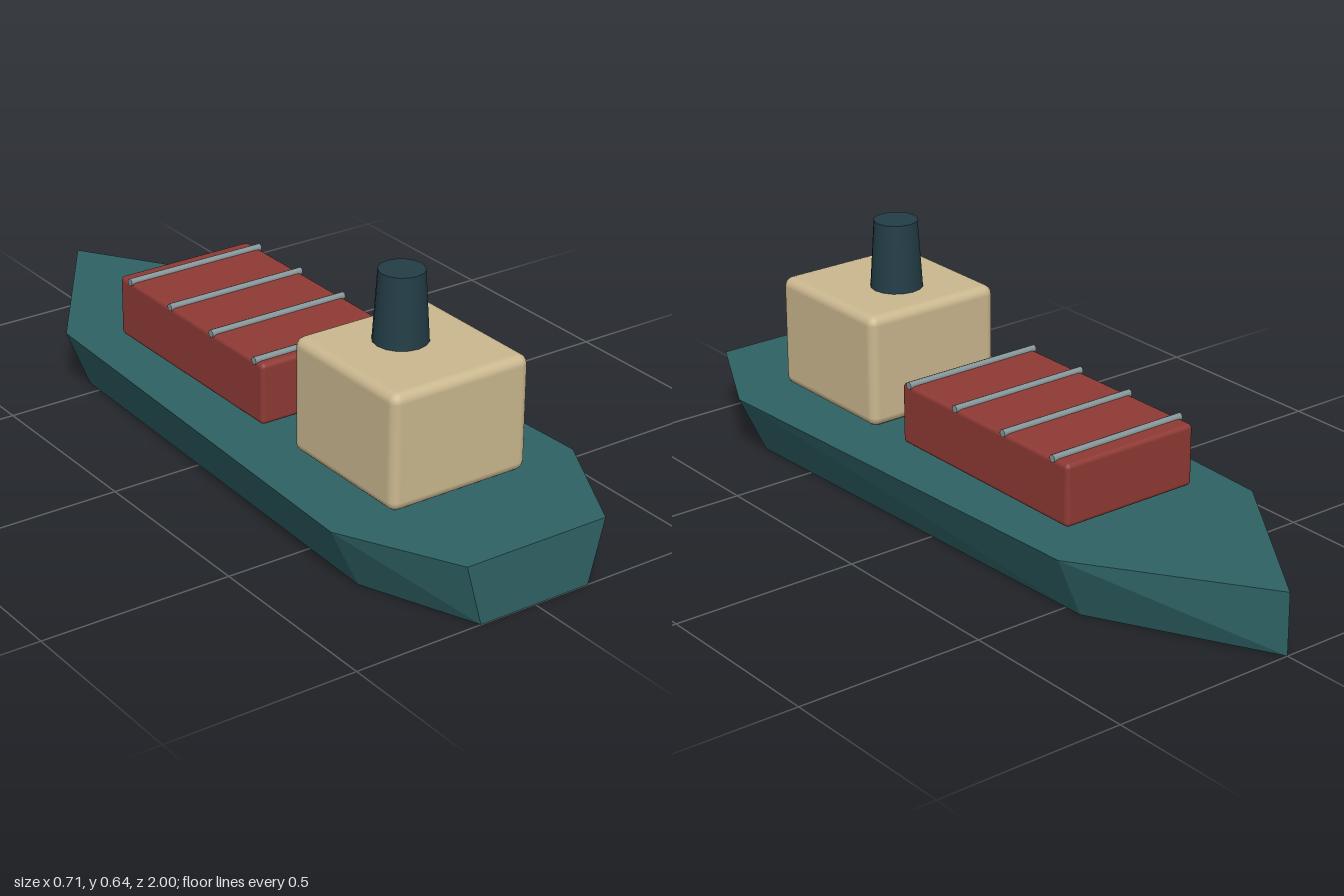
import * as THREE from 'three';
import { RoundedBoxGeometry } from 'three/addons/geometries/RoundedBoxGeometry.js';

const DECK = 0.162;

function material(name, color) {
  const m = new THREE.MeshStandardMaterial({ color });
  m.name = name;
  return m;
}

// Deck outline extruded upwards, with the bottom drawn in to slope the sides
function hullGeometry() {
  const half = [[0.305, -0.55], [0.355, 0.7], [0.2, 1]];
  const outline = [[0, -1], ...half, ...half.map(([x, z]) => [-x, z]).reverse()];
  const shape = new THREE.Shape(outline.map(([x, z]) => new THREE.Vector2(x, -z)));
  const geometry = new THREE.ExtrudeGeometry(shape, { depth: DECK, bevelEnabled: false });
  geometry.rotateX(-Math.PI / 2);
  const p = geometry.attributes.position;
  for (let i = 0; i < p.count; i++) {
    if (p.getY(i) < DECK / 2) p.setX(i, p.getX(i) * 0.78);
  }
  geometry.computeVertexNormals();
  return geometry;
}

export function createModel() {
  const ship = new THREE.Group();
  ship.name = 'cargoShip';
  const teal = material('hull teal', 0x2f6265);
  const cream = material('cabin cream', 0xcbb88f);
  const red = material('cargo red', 0x8f3a35);
  const dark = material('funnel dark blue', 0x233d46);
  const grey = material('strap grey', 0x87979a);

  const add = (name, geometry, mat, x, y, z) => {
    const mesh = new THREE.Mesh(geometry, mat);
    mesh.name = name;
    mesh.position.set(x, y, z);
    ship.add(mesh);
    return mesh;
  };

  add('hull', hullGeometry(), teal, 0, 0, 0);

  // Cabin and its tapered funnel towards the stern
  add('cabin', new RoundedBoxGeometry(0.394, 0.3, 0.4, 2, 0.025), cream, 0, 0.313, 0.52);
  add('funnel', new THREE.CylinderGeometry(0.057, 0.07, 0.2, 16), dark, 0, 0.543, 0.48);

  // Cargo block with straps across its top
  add('cargo', new RoundedBoxGeometry(0.394, 0.163, 0.646, 2, 0.012), red, 0, 0.2535, -0.128);
  const strap = new THREE.CylinderGeometry(0.01, 0.01, 0.4, 8);
  strap.rotateZ(Math.PI / 2);
  for (let i = 0; i < 4; i++) add('strap', strap, grey, 0, 0.336, 0.163 - i * 0.187);

  return ship;
}
